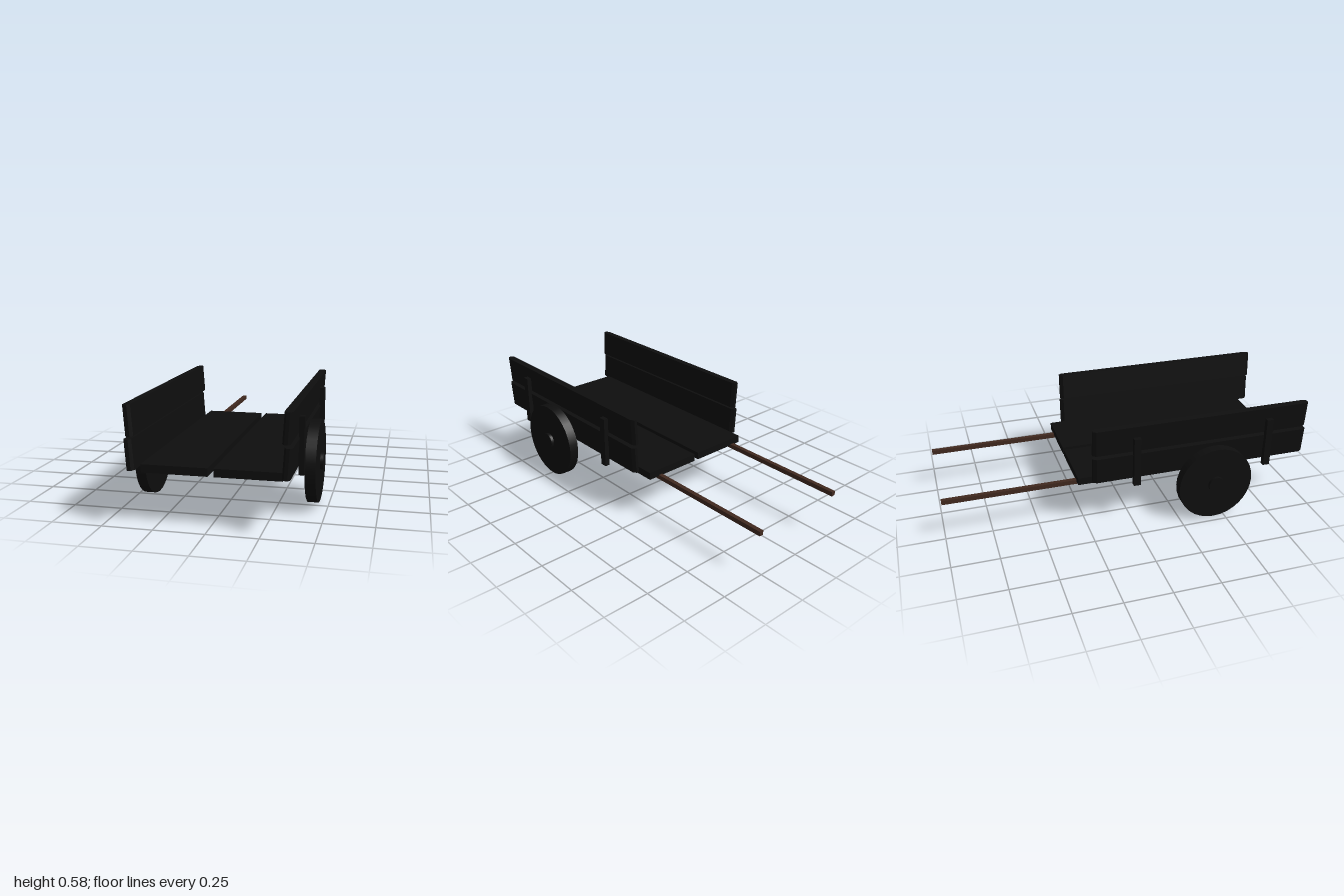
import * as THREE from 'three';

export function createModel() {
  const cart = new THREE.Group();
  cart.name = 'handCart';
  const mat = (name, color) => {
    const m = new THREE.MeshStandardMaterial({ color });
    m.name = name;
    return m;
  };
  const darkWood = mat('darkWood', 0x0e0e0e);
  const axleWood = mat('axleWood', 0x3a2e22);
  const handleWood = mat('handleWood', 0x40291f);

  const add = (name, geometry, material, x, y, z, parent = cart) => {
    const mesh = new THREE.Mesh(geometry, material);
    mesh.name = name;
    mesh.position.set(x, y, z);
    parent.add(mesh);
    return mesh;
  };
  const box = (name, material, [x0, x1], [y0, y1], [z0, z1]) =>
    add(name, new THREE.BoxGeometry(x1 - x0, y1 - y0, z1 - z0), material,
      (x0 + x1) / 2, (y0 + y1) / 2, (z0 + z1) / 2);

  // Floor boards with a narrow gap between them
  box('floorBoardRight', darkWood, [-0.323, -0.003], [0.25, 0.29], [-0.29, 0.93]);
  box('floorBoardLeft', darkWood, [0.024, 0.342], [0.25, 0.29], [-0.29, 0.93]);

  // Side board: long plank whose end edges are bevelled
  const length = 1.22, thick = 0.038, height = 0.146;
  const bx = 0.011, bz = 0.018, hx = thick / 2, hz = length / 2;
  const outline = new THREE.Shape([
    [hx, -hz + bz], [hx, hz - bz], [hx - bx, hz], [-hx + bx, hz],
    [-hx, hz - bz], [-hx, -hz + bz], [-hx + bx, -hz], [hx - bx, -hz],
  ].map(([x, y]) => new THREE.Vector2(x, y)));
  const sideBoard = new THREE.ExtrudeGeometry(outline, { depth: height, bevelEnabled: false });
  sideBoard.rotateX(-Math.PI / 2).translate(0, -height / 2, 0);

  // Sides sit slightly off centre; boards lean outwards, posts stand outside
  const offset = 0.007;
  for (const [side, s] of [['Left', 1], ['Right', -1]]) {
    for (const [level, y] of [['lower', 0.348], ['upper', 0.508]]) {
      const board = add(level + 'SideBoard' + side, sideBoard, darkWood, offset + s * 0.364, y, 0.39);
      board.rotation.z = -s * 0.068;
    }
    for (const [end, z] of [['front', 0.766], ['back', 0.013]]) {
      add(end + 'Post' + side, new THREE.BoxGeometry(0.026, 0.277, 0.038), darkWood,
        offset + s * 0.396, 0.379, z);
    }
    // Pulling handles
    box('handle' + side, handleWood, s > 0 ? [0.258, 0.281] : [-0.281, -0.258],
      [0.233, 0.257], [-1, 0.055]);
  }

  // Axle beam
  box('axle', axleWood, [-0.42, 0.42], [0.208, 0.249], [0.452, 0.502]);

  // Solid wheels with round hubs, each a little out of line with the other
  const disc = (r, w) => new THREE.CylinderGeometry(r, r, w, 32).rotateZ(Math.PI / 2);
  for (const [side, x, y, z] of [['Left', 0.4305, 0.229, 0.478], ['Right', -0.434, 0.209, 0.441]]) {
    const wheel = new THREE.Group();
    wheel.name = 'wheel' + side;
    wheel.position.set(x, y, z);
    add('wheelDisc' + side, disc(0.209, 0.053), darkWood, 0, 0, 0, wheel);
    add('hub' + side, disc(0.044, 0.085), darkWood, 0, 0, 0, wheel);
    cart.add(wheel);
  }
  return cart;
}
